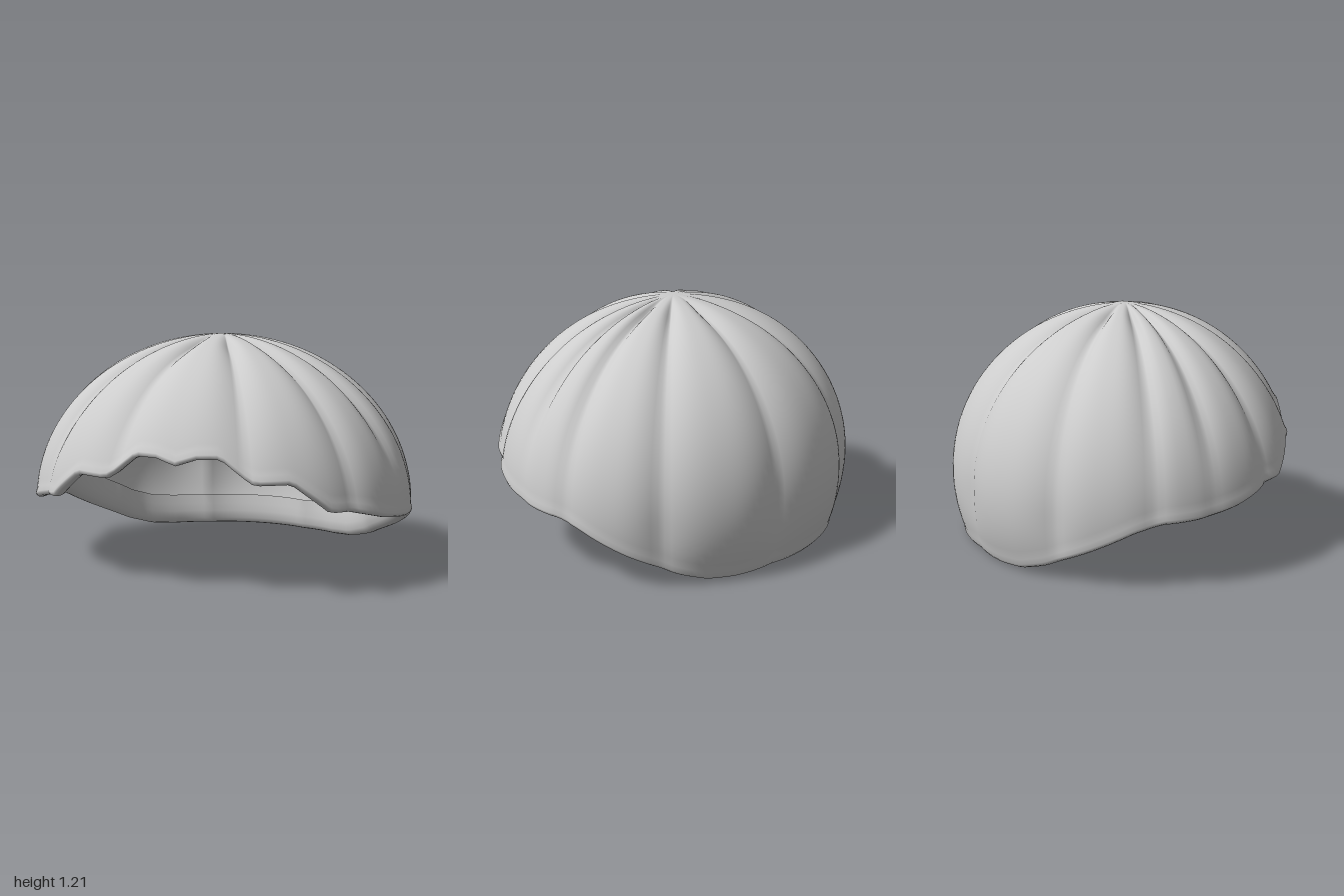
import * as THREE from 'three';

const { lerp, clamp, smoothstep } = THREE.MathUtils;
const CY = 0.33, CZ = 0.05;            // centre of the dome
const RX = 1.0, RY = 0.875;            // half width and height of the dome
const COLS = 180, ROWS = 36;

// grooves: degrees from the front, depth near the edge; mirrored left and right
const GROOVES = [[-20, 0.02], [20, 0.02], [52, 0.022], [75, 0.008], [93, 0.02], [123, 0.042], [160, 0.042], [200, 0.042]];
// lower edge: degrees from the front, height
const EDGE = [[0, 0.64], [6, 0.67], [13, 0.675], [22.5, 0.56], [33, 0.56], [44.5, 0.42], [51.5, 0.415],
  [66, 0.355], [73, 0.335], [80, 0.32], [90, 0.31], [99, 0.27], [112, 0.17], [127, 0.06], [137, 0.012], [146, 0], [180, 0]];
// rounded lip turned up inside: height above the edge, depth inside the outer skin
const LIP = [[0.025, -0.006], [0.01, 0], [0.002, 0.012], [0, 0.028], [0.008, 0.05], [0.035, 0.075], [0.08, 0.093], [0.125, 0.102], [0.18, 0.108]];

// position of deg within a table: index of the next entry and fraction
function locate(table, deg) {
  let i = 1;
  while (i < table.length - 1 && deg > table[i][0]) i++;
  return [i, (deg - table[i - 1][0]) / (table[i][0] - table[i - 1][0])];
}

function edgeHeight(deg) {
  const [i, t] = locate(EDGE, deg);
  return lerp(EDGE[i - 1][1], EDGE[i][1], t);
}

// groove depth at a direction and polar angle: fades at the crown and under the widest line
function grooveDepth(deg, phi) {
  const [i, t] = locate(GROOVES, deg);
  const shape = Math.pow(1 - Math.sin(Math.PI * t), 1.6);
  const s = Math.sin(phi), y = CY + RY * Math.cos(phi);
  const low = GROOVES[t < 0.5 ? i - 1 : i][1];
  const depth = lerp(low, 0.046, smoothstep(y, 0.4, 0.95));
  const under = lerp(0.4, 1, smoothstep(y, 0, 0.33));
  return shape * depth * under * smoothstep(s, 0.05, 0.32);
}

// point on the dome, d inside the outer skin
function domePoint(theta, deg, phi, d) {
  const k = 1 - grooveDepth(deg, phi);
  const s = Math.sin(phi) * k, c = Math.cos(phi);
  const rz = lerp(0.92, 0.89, (Math.cos(theta) + 1) / 2);
  return [Math.sin(theta) * (RX - d) * s, CY + (RY - d) * c * (c > 0 ? k : 1), CZ + Math.cos(theta) * (rz - d) * s];
}

function shellGeometry() {
  const pos = [], index = [];
  const rows = ROWS + 1 + LIP.length;
  const phiAt = (y, d) => Math.acos(clamp((y - CY) / (RY - d), -1, 1));
  for (let i = 0; i < COLS; i++) {
    const theta = i / COLS * Math.PI * 2;
    const deg = Math.min(i, COLS - i) / COLS * 360;
    const y = edgeHeight(deg);
    const end = phiAt(y + 0.05, 0);
    for (let j = 0; j <= ROWS; j++) pos.push(...domePoint(theta, deg, end * j / ROWS, 0));
    for (const [h, d] of LIP) pos.push(...domePoint(theta, deg, phiAt(y + h, d), d));
  }
  for (let i = 0; i < COLS; i++) {
    const n = (i + 1) % COLS;
    for (let j = 0; j < rows - 1; j++) {
      const a = i * rows + j, b = n * rows + j;
      index.push(a, a + 1, b + 1);
      if (j > 0) index.push(a, b + 1, b);
    }
  }
  const g = new THREE.BufferGeometry();
  g.setAttribute('position', new THREE.Float32BufferAttribute(pos, 3));
  g.setIndex(index);
  g.computeVertexNormals();
  // one shared normal at the crown
  for (let i = 0; i < COLS; i++) g.attributes.normal.setXYZ(i * rows, 0, 1, 0);
  return g;
}

export function createModel() {
  const group = new THREE.Group();
  group.name = 'lobedCap';
  const grey = new THREE.MeshStandardMaterial({ color: 0xcccccc, side: THREE.DoubleSide });
  grey.name = 'light grey';
  const shell = new THREE.Mesh(shellGeometry(), grey);
  shell.name = 'capShell';
  group.add(shell);
  return group;
}
